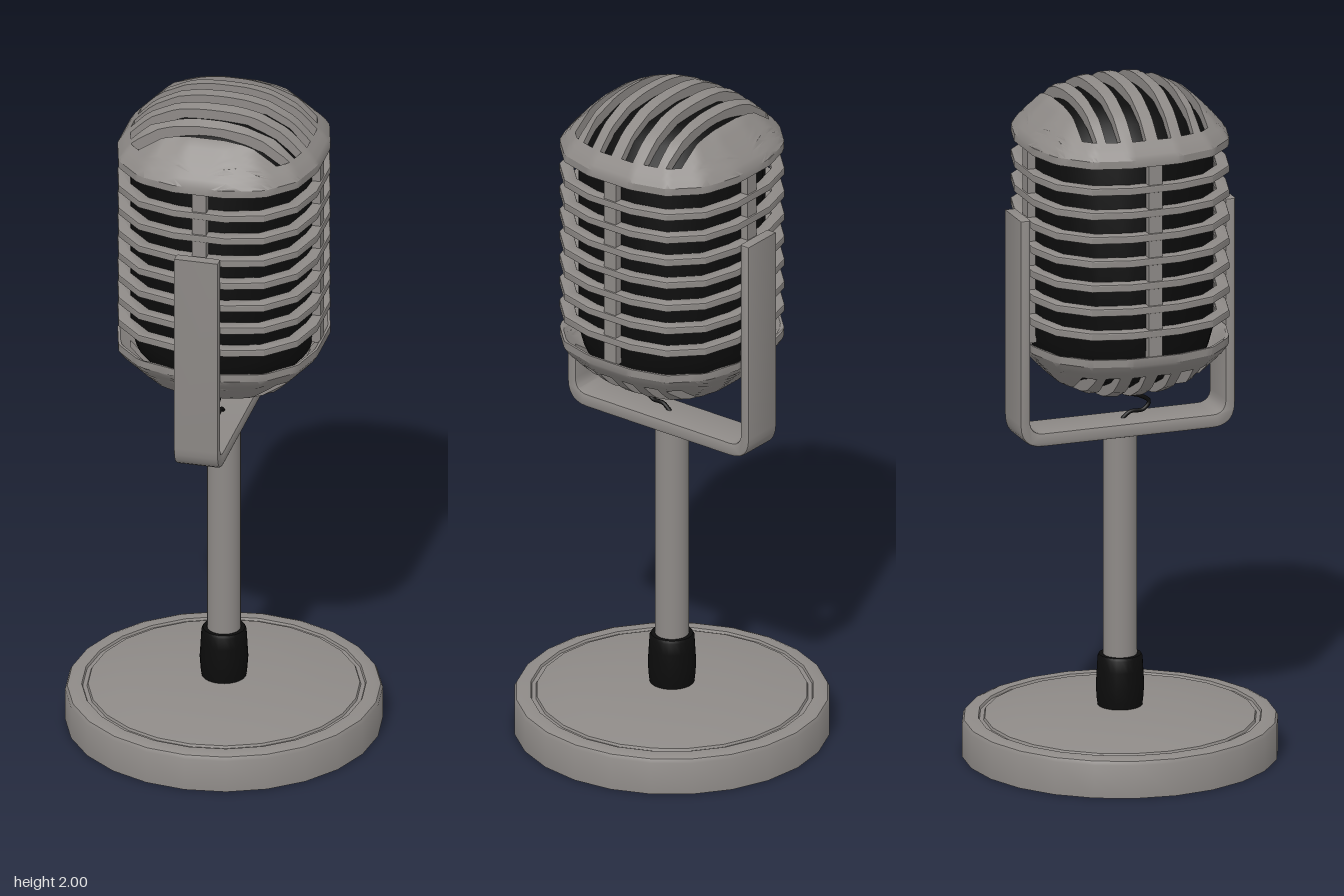
import * as THREE from 'three';
import { mergeGeometries, toCreasedNormals } from 'three/addons/utils/BufferGeometryUtils.js';

const CENTER = 1.5375; // height of the middle of the head

// Sixteen-sided outline of the head: edge normals and distances (one quadrant, absolute values)
const EDGES = [[1, 0, 0.292], [0.9635, 0.2676, 0.3014], [0.7071, 0.7071, 0.3147], [0.2676, 0.9635, 0.3014], [0, 1, 0.292]];
const QUADRANT = [[0.292, 0.075], [0.262, 0.183], [0.183, 0.262], [0.075, 0.292]];

const gauge = (x, z) => Math.max(...EDGES.map(([a, b, d]) => (a * Math.abs(x) + b * Math.abs(z)) / d));
const halfWidth = (z, g) =>
  Math.max(0.01, Math.min(...EDGES.filter(e => e[0] > 0).map(([a, b, d]) => (g * d - b * Math.abs(z)) / a)));

// Dome height above the head's middle, from crown (0) to rim (1)
const DOME = [[0, 0.4605], [0.25, 0.456], [0.45, 0.443], [0.7, 0.405], [0.85, 0.36], [0.95, 0.327], [1, 0.305]];
function domeHeight(g) {
  g = Math.min(Math.max(g, 0), 1);
  const i = Math.max(1, DOME.findIndex(p => p[0] >= g));
  const [a, b] = [DOME[i - 1], DOME[i]];
  return THREE.MathUtils.mapLinear(g, a[0], b[0], a[1], b[1]);
}

// A curved slab of the dome between two z values and two x limits that depend on z
function domePatch(z0, z1, xa, xb, nx, nz) {
  const geo = new THREE.BoxGeometry(1, 1, 1, nx, 1, nz);
  const p = geo.attributes.position;
  for (let i = 0; i < p.count; i++) {
    const z = THREE.MathUtils.lerp(z0, z1, p.getZ(i) + 0.5);
    const x = THREE.MathUtils.lerp(xa(z), xb(z), p.getX(i) + 0.5);
    const y = domeHeight(gauge(x, z));
    p.setXYZ(i, x, p.getY(i) > 0 ? y : Math.max(y - 0.035, 0.2825), z);
  }
  return geo;
}

// Dome with six slots across it
function domeGeometry() {
  const half = [0.018, 0.058, 0.092, 0.132, 0.157, 0.19, 0.292];
  const cuts = [...half.map(v => -v).reverse(), ...half];
  const rim = z => halfWidth(z, 1), slot = z => halfWidth(z, 0.88);
  const parts = [];
  for (let i = 0; i < cuts.length - 1; i++) {
    const [z0, z1] = [cuts[i], cuts[i + 1]];
    const nz = i === 0 || i === cuts.length - 2 ? 8 : 3;
    parts.push(domePatch(z0, z1, z => -rim(z), z => -slot(z), 5, nz));
    parts.push(domePatch(z0, z1, slot, rim, 5, nz));
    if (i % 2 === 0) parts.push(domePatch(z0, z1, z => -slot(z), slot, 24, nz));
  }
  return toCreasedNormals(mergeGeometries(parts), 0.6);
}

// Outline points of the head at a given scale
function outline(scale) {
  const pts = [];
  for (let q = 0; q < 4; q++) {
    for (const [x, y] of QUADRANT) {
      pts.push(new THREE.Vector2(x, y).multiplyScalar(scale).rotateAround(new THREE.Vector2(), q * Math.PI / 2));
    }
  }
  return pts;
}

function lathe(points, segments) {
  const geo = new THREE.LatheGeometry(points.map(p => new THREE.Vector2(...p)), segments);
  return toCreasedNormals(geo, 0.6);
}

export function createModel() {
  const model = new THREE.Group();
  const metal = new THREE.MeshStandardMaterial({ name: 'grey metal', color: 0x8e8a87 });
  const black = new THREE.MeshStandardMaterial({ name: 'black', color: 0x0c0c0c });
  const add = (name, geo, mat, parent = model) => {
    const mesh = new THREE.Mesh(geo, mat);
    mesh.name = name;
    parent.add(mesh);
    return mesh;
  };

  // Round foot with a groove and a low dome
  add('base', lathe([[0, 0], [0.45, 0], [0.45, 0.097], [0.444, 0.108], [0.432, 0.113], [0.403, 0.113], [0.4, 0.106],
    [0.388, 0.106], [0.385, 0.113], [0.3, 0.127], [0.2, 0.137], [0.1, 0.142], [0, 0.144]], 24), metal);

  // Stem and its collar
  add('stem', new THREE.CylinderGeometry(0.048, 0.048, 0.84, 24).translate(0, 0.55, 0), metal);
  add('collar', lathe([[0, 0.13], [0.062, 0.13], [0.066, 0.16], [0.069, 0.2], [0.066, 0.25], [0.064, 0.285],
    [0.06, 0.293], [0, 0.293]], 24), black);

  // U-shaped yoke, drawn in side view and extruded across its width
  const u = new THREE.Shape();
  u.moveTo(-0.325, 1.625);
  u.lineTo(-0.325, 1.02);
  u.quadraticCurveTo(-0.325, 0.95, -0.255, 0.95);
  u.lineTo(0.255, 0.95);
  u.quadraticCurveTo(0.325, 0.95, 0.325, 1.02);
  u.lineTo(0.325, 1.625);
  u.lineTo(0.295, 1.625);
  u.lineTo(0.295, 1.03);
  u.quadraticCurveTo(0.295, 0.99, 0.255, 0.99);
  u.lineTo(-0.255, 0.99);
  u.quadraticCurveTo(-0.295, 0.99, -0.295, 1.03);
  u.lineTo(-0.295, 1.625);
  u.closePath();
  const yokeGeo = new THREE.ExtrudeGeometry(u, {
    depth: 0.118, bevelThickness: 0.006, bevelSize: 0.006, bevelOffset: -0.006, bevelSegments: 2, curveSegments: 6,
  });
  add('yoke', toCreasedNormals(yokeGeo.translate(0, 0, -0.059).rotateY(Math.PI / 2), 0.5), metal);

  // Loose cable between the head and the yoke
  const wire = [[1.09, 0], [1.065, 0.01], [1.05, 0.06], [1.03, 0.088], [1.008, 0.07], [1.005, 0.03], [0.98, 0]]
    .map(([y, z]) => new THREE.Vector3(0, y, z));
  add('cable', new THREE.TubeGeometry(new THREE.CatmullRomCurve3(wire), 32, 0.006, 8), black);

  const head = new THREE.Group();
  head.name = 'head';
  head.position.y = CENTER;
  model.add(head);

  // Dark core seen through the slots
  const top = [[0.265, 0.27], [0.25, 0.325], [0.2, 0.382], [0.13, 0.418], [0, 0.433]];
  add('core', lathe([...top.map(([r, y]) => [r, -y]).reverse(), ...top], 32), black, head);

  // Slotted domes above and below
  const dome = domeGeometry();
  add('topDome', dome, metal, head);
  add('bottomDome', dome, metal, head).rotation.x = Math.PI;

  // Horizontal ribs
  const ringShape = new THREE.Shape(outline(1));
  ringShape.holes.push(new THREE.Path(outline(0.88)));
  const ringGeo = new THREE.ExtrudeGeometry(ringShape, {
    depth: 0.0146, bevelThickness: 0.004, bevelSize: 0.004, bevelOffset: -0.004, bevelSegments: 2,
  });
  const rib = toCreasedNormals(ringGeo.translate(0, 0, -0.0073).rotateX(-Math.PI / 2), 0.6);
  for (let i = -3; i <= 3; i++) add('rib', rib, metal, head).position.y = i * 0.0715;

  // Upright bars at the front, back and sides
  for (let i = 0; i < 4; i++) {
    const bar = new THREE.BoxGeometry(0.042, 0.58, 0.026).translate(0, 0, 0.274);
    add('uprightBar', bar, metal, head).rotation.y = i * Math.PI / 2;
  }
  return model;
}
